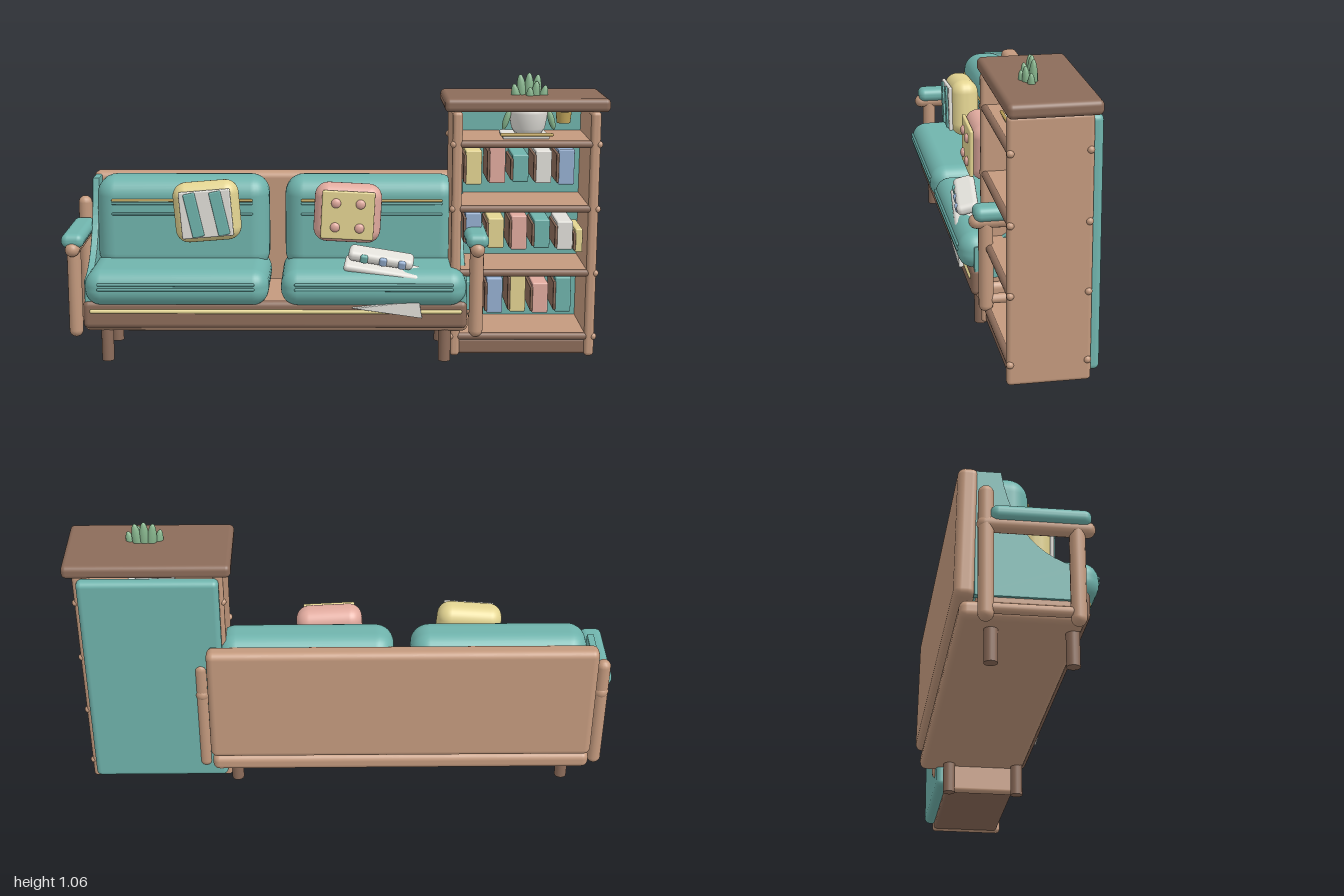
import * as THREE from 'three';
import { RoundedBoxGeometry } from 'three/addons/geometries/RoundedBoxGeometry.js';

const mat = (color) => new THREE.MeshStandardMaterial({ color, side: THREE.DoubleSide });
const M = {
  wood: mat(0xc49a7e), dark: mat(0x8c6c5a), teal: mat(0x70b4ad), deep: mat(0x5c9a95),
  yellow: mat(0xe4d592), gold: mat(0xc0a45a), pink: mat(0xe2ab9f), blue: mat(0x96b0d2),
  white: mat(0xe2e0da), green: mat(0x86b48c),
};

function add(parent, name, geometry, material, x = 0, y = 0, z = 0) {
  const mesh = new THREE.Mesh(geometry, material);
  mesh.name = name;
  mesh.position.set(x, y, z);
  parent.add(mesh);
  return mesh;
}

// Rounded box given by its limits on each axis
function block(parent, name, material, [x0, x1], [y0, y1], [z0, z1], r = 0.012) {
  const w = x1 - x0, h = y1 - y0, d = z1 - z0;
  const radius = Math.min(r, Math.min(w, h, d) * 0.49);
  return add(parent, name, new RoundedBoxGeometry(w, h, d, 4, radius), material,
    (x0 + x1) / 2, (y0 + y1) / 2, (z0 + z1) / 2);
}

// Round rod with domed ends along an axis
function rod(parent, name, material, axis, a, b, r, x, y, z) {
  const mesh = add(parent, name, new THREE.CapsuleGeometry(r, b - a - 2 * r, 5, 14), material, x, y, z);
  mesh.position[axis] = (a + b) / 2;
  if (axis === 'x') mesh.rotation.z = Math.PI / 2;
  if (axis === 'z') mesh.rotation.x = Math.PI / 2;
  return mesh;
}

function group(parent, name, x = 0, y = 0, z = 0) {
  const g = new THREE.Group();
  g.name = name;
  g.position.set(x, y, z);
  parent.add(g);
  return g;
}

function buildSofa(root) {
  const sofa = group(root, 'sofa');
  block(sofa, 'base', M.wood, [-0.925, 0.495], [0.115, 0.18], [-0.22, 0.18], 0.025);
  block(sofa, 'seatFrame', M.wood, [-0.91, 0.48], [0.17, 0.235], [-0.16, 0.18]);
  block(sofa, 'frontRail', M.dark, [-0.925, 0.49], [0.13, 0.235], [0.15, 0.195], 0.02);
  rod(sofa, 'railTrim', M.yellow, 'x', -0.9, 0.47, 0.008, 0, 0.197, 0.194);
  const back = block(sofa, 'backPanel', M.wood, [-0.925, 0.5], [0.19, 0.655], [-0.233, -0.163], 0.025);
  back.rotation.x = 0.025;

  // Cushions with piping
  const cushions = [[-0.895, -0.245, -0.915, -0.24], [-0.185, 0.465, -0.195, 0.485]];
  for (const [b0, b1, s0, s1] of cushions) {
    block(sofa, 'backCushion', M.teal, [b0, b1], [0.3, 0.66], [-0.165, 0.012], 0.07);
    block(sofa, 'seatCushion', M.teal, [s0, s1], [0.22, 0.355], [-0.15, 0.235], 0.06);
    for (const [y, m] of [[0.577, M.gold], [0.565, M.deep], [0.525, M.deep]])
      rod(sofa, 'backPiping', m, 'x', b0 + 0.06, b1 - 0.06, 0.005, 0, y, 0.012);
    for (const y of [0.308, 0.29])
      rod(sofa, 'seatPiping', M.deep, 'x', s0 + 0.05, s1 - 0.05, 0.006, 0, y, 0.234);
  }

  // Legs
  for (const x of [-0.842, 0.41])
    for (const z of [0.15, -0.112])
      add(sofa, 'leg', new THREE.CylinderGeometry(0.023, 0.023, 0.13, 16), M.dark, x, 0.065, z);

  // Arms: posts, collars, bar, pad and side panel
  for (const [x, inner] of [[-0.957, -0.905], [0.525, 0.475]]) {
    const arm = group(sofa, 'arm');
    rod(arm, 'backPost', M.wood, 'y', 0.09, 0.565, 0.026, x, 0, -0.142);
    rod(arm, 'frontPost', M.wood, 'y', 0.09, 0.44, 0.026, x, 0, 0.15);
    rod(arm, 'armBar', M.wood, 'z', -0.172, 0.21, 0.027, x, 0.428, 0);
    rod(arm, 'stretcher', M.wood, 'z', -0.14, 0.15, 0.018, x, 0.135, 0);
    block(arm, 'armPad', M.teal, [x - 0.042, x + 0.042], [0.432, 0.486], [-0.13, 0.195], 0.025);
    const s = new THREE.Shape();
    s.moveTo(-0.17, 0.2);
    s.lineTo(0.18, 0.2);
    s.lineTo(0.18, 0.31);
    s.quadraticCurveTo(-0.04, 0.34, -0.09, 0.64);
    s.lineTo(-0.17, 0.64);
    const g = new THREE.ExtrudeGeometry(s, { depth: 0.018, bevelSize: 0.004, bevelThickness: 0.004, bevelSegments: 2 });
    g.rotateY(-Math.PI / 2);
    add(arm, 'sidePanel', g, M.teal, inner + 0.009, 0, 0);
  }

  // Throw pillow with striped panel
  const striped = group(sofa, 'stripedPillow', -0.47, 0.552, 0.08);
  striped.rotation.z = 0.08;
  block(striped, 'pillow', M.yellow, [-0.122, 0.122], [-0.112, 0.112], [-0.055, 0.055], 0.05);
  block(striped, 'panel', M.white, [-0.095, 0.095], [-0.088, 0.088], [0.05, 0.065], 0.006);
  for (const x of [-0.045, 0.05]) {
    const stripe = block(striped, 'stripe', M.teal, [x - 0.022, x + 0.022], [-0.083, 0.083], [0.06, 0.072], 0.005);
    stripe.rotation.z = 0.14;
  }

  // Throw pillow with buttons
  const buttoned = group(sofa, 'buttonedPillow', 0.05, 0.547, 0.08);
  buttoned.rotation.z = -0.05;
  block(buttoned, 'pillow', M.pink, [-0.124, 0.124], [-0.11, 0.11], [-0.055, 0.055], 0.05);
  block(buttoned, 'panel', M.yellow, [-0.097, 0.097], [-0.09, 0.09], [0.05, 0.065], 0.006);
  for (const x of [-0.045, 0.045])
    for (const y of [-0.045, 0.045])
      add(buttoned, 'button', new THREE.SphereGeometry(0.018, 14, 10).scale(1, 1, 0.6), M.pink, x, y, 0.067);

  // Folded blanket on the seat, with its hanging corner
  const blanket = group(sofa, 'foldedBlanket', 0.18, 0.375, 0.165);
  blanket.rotation.set(0.25, -0.12, -0.12);
  block(blanket, 'upperFold', M.white, [-0.13, 0.11], [0, 0.04], [-0.045, 0.035], 0.018);
  block(blanket, 'lowerFold', M.white, [-0.14, 0.14], [-0.035, -0.006], [-0.04, 0.055], 0.014);
  for (const [x, m] of [[-0.07, M.teal], [0, M.blue], [0.07, M.blue]])
    block(blanket, 'patch', m, [x - 0.014, x + 0.014], [0.004, 0.036], [0.02, 0.041], 0.008);
  const corner = new THREE.Shape();
  corner.moveTo(0.07, 0.215);
  corner.lineTo(0.31, 0.24);
  corner.lineTo(0.32, 0.18);
  add(sofa, 'hangingCorner', new THREE.ExtrudeGeometry(corner,
    { depth: 0.012, bevelSize: 0.003, bevelThickness: 0.003, bevelSegments: 2 }), M.white, 0, 0, 0.2);
}

function buildBookcase(root) {
  const bookcase = group(root, 'bookcase');
  block(bookcase, 'topSlab', M.dark, [0.4, 0.998], [0.93, 0.98], [-0.147, 0.16], 0.018);
  for (const [x0, x1] of [[0.43, 0.466], [0.93, 0.966]])
    block(bookcase, 'sidePanel', M.wood, [x0, x1], [0.015, 0.932], [-0.125, 0.155], 0.014);
  block(bookcase, 'backPanel', M.teal, [0.445, 0.95], [0.04, 0.92], [-0.158, -0.11], 0.02);
  block(bookcase, 'plinth', M.dark, [0.45, 0.945], [0.02, 0.08], [-0.12, 0.14]);
  for (const y of [0.812, 0.573, 0.332, 0.09]) {
    block(bookcase, 'shelf', M.wood, [0.45, 0.945], [y - 0.013, y + 0.013], [-0.12, 0.14], 0.008);
    rod(bookcase, 'shelfEdge', M.dark, 'x', 0.45, 0.945, 0.014, 0, y, 0.14);
    for (const x of [0.434, 0.962])
      for (const z of [-0.112, 0.145])
        add(bookcase, 'peg', new THREE.SphereGeometry(0.013, 10, 8), M.wood, x, y, z);
  }

  // Books: [x, bottom, top, colour]
  const rows = [
    [[0.515, 0.647, 0.775, 'yellow'], [0.602, 0.652, 0.79, 'pink'], [0.688, 0.657, 0.76, 'teal'],
      [0.773, 0.652, 0.775, 'white'], [0.857, 0.647, 0.78, 'blue']],
    [[0.518, 0.42, 0.54, 'blue'], [0.602, 0.406, 0.52, 'yellow'], [0.688, 0.4, 0.53, 'pink'],
      [0.773, 0.406, 0.515, 'teal'], [0.859, 0.4, 0.508, 'white'], [0.912, 0.39, 0.48, 'yellow']],
    [[0.518, 0.165, 0.28, 'teal'], [0.602, 0.155, 0.29, 'blue'], [0.688, 0.16, 0.31, 'yellow'],
      [0.773, 0.155, 0.272, 'pink'], [0.859, 0.16, 0.294, 'teal']],
  ];
  for (const row of rows)
    for (const [x, y0, y1, color] of row) {
      const w = x > 0.9 ? 0.014 : 0.03;
      block(bookcase, 'book', M[color], [x - w, x + w], [y0, y1], [-0.11, 0.06], 0.006);
      block(bookcase, 'bookCover', M.dark, [x - w - 0.007, x - w + 0.003], [y0 + 0.008, y1 - 0.015], [-0.11, 0.064], 0.004);
    }

  // Potted succulent whose leaves rise past the top
  const plant = group(bookcase, 'pottedPlant', 0.715, 0.83, 0.03);
  const profile = [[0, 0], [0.05, 0], [0.062, 0.02], [0.072, 0.075], [0.07, 0.092], [0.058, 0.092], [0.055, 0.07], [0, 0.07]];
  add(plant, 'pot', new THREE.LatheGeometry(profile.map(([x, y]) => new THREE.Vector2(x, y)), 24), M.white, 0, 0.008, 0);
  block(plant, 'tray', M.white, [-0.1, 0.07], [-0.005, 0.008], [-0.07, 0.08], 0.005);
  rod(plant, 'trayEdge', M.gold, 'x', -0.11, 0.085, 0.006, 0, 0.012, 0.08);
  const leaves = [[0, 0.0, 0.228], [-0.026, 0, 0.222], [0.026, 0, 0.222], [-0.045, 0.012, 0.19], [0.047, 0.01, 0.185], [0, 0.028, 0.18], [0.02, 0.02, 0.2]];
  for (const [x, z, top] of leaves) {
    const leaf = add(plant, 'leaf', new THREE.SphereGeometry(1, 14, 12).scale(0.018, 0.07, 0.015), M.green, x, top - 0.068, z);
    leaf.rotation.z = -x * 4;
    leaf.rotation.x = z * 4;
  }
  for (const s of [-1, 1]) {
    const leaf = add(plant, 'drapedLeaf', new THREE.SphereGeometry(1, 12, 10).scale(0.012, 0.04, 0.012), M.green, s * 0.082, 0.06, 0.02);
    leaf.rotation.z = s * 0.3;
  }

  // Small gilt cup
  add(bookcase, 'cup', new THREE.CylinderGeometry(0.03, 0.025, 0.05, 18), M.gold, 0.845, 0.9, 0.03);
  add(bookcase, 'cupRim', new THREE.TorusGeometry(0.029, 0.005, 8, 20).rotateX(Math.PI / 2), M.yellow, 0.845, 0.922, 0.03);
}

export function createModel() {
  const root = new THREE.Group();
  root.name = 'sofaWithBookcase';
  buildSofa(root);
  buildBookcase(root);
  return root;
}
